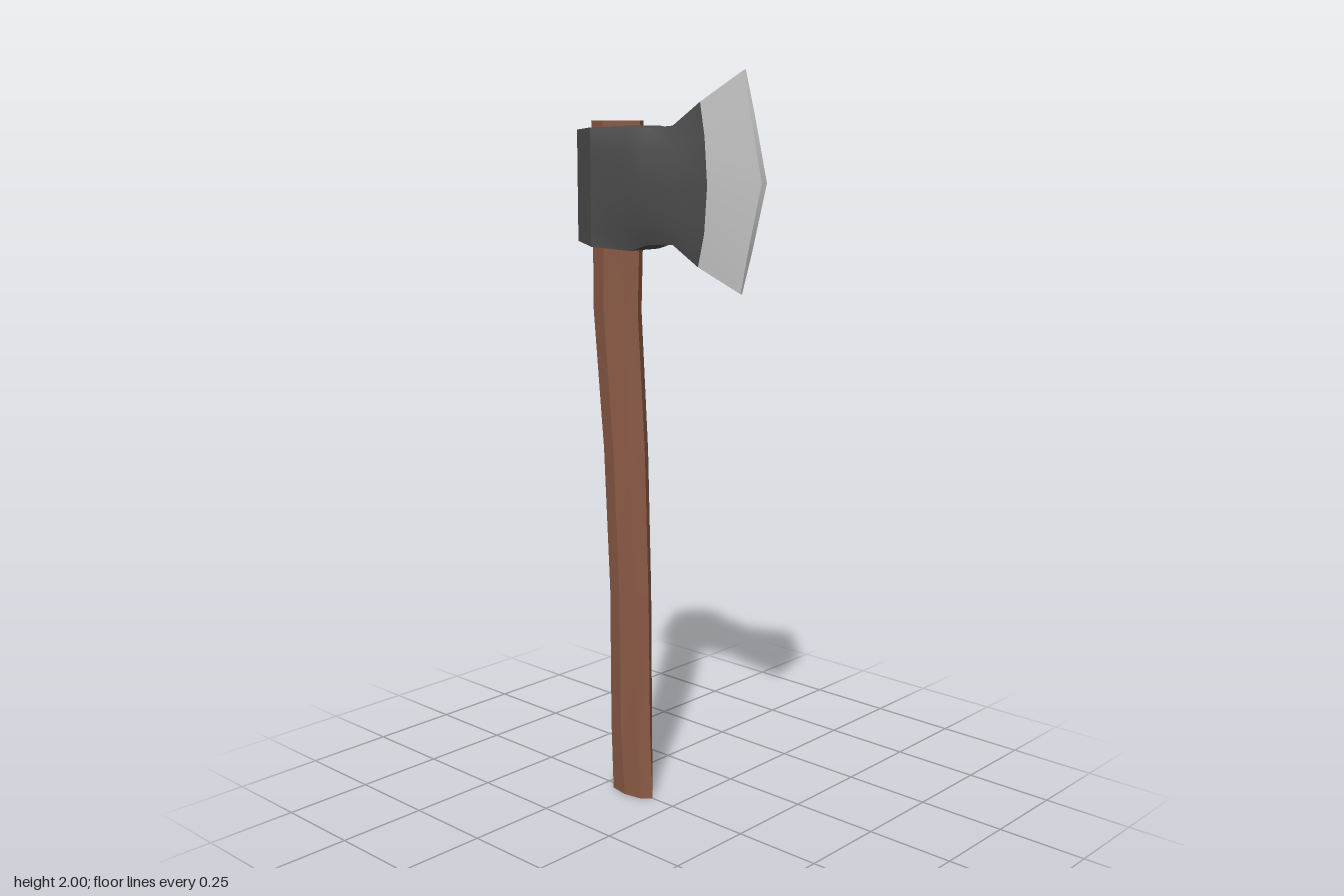
import * as THREE from 'three';
import { toCreasedNormals } from 'three/addons/utils/BufferGeometryUtils.js';

const mat = (name, color) => {
  const m = new THREE.MeshStandardMaterial({ color });
  m.name = name;
  return m;
};

// Skin a series of closed rings of points; caps are laid as strips across a ring.
function loft(rings, capStart, capEnd, crease) {
  const pos = [];
  const tri = (a, b, c) => {
    const area = new THREE.Triangle(a, b, c).getArea();
    if (area > 1e-8) for (const p of [a, b, c]) pos.push(p.x, p.y, p.z);
  };
  const n = rings[0].length;
  for (let i = 0; i < rings.length - 1; i++) {
    const A = rings[i], B = rings[i + 1];
    for (let j = 0; j < n; j++) {
      const k = (j + 1) % n;
      tri(A[j], B[j], A[k]);
      tri(B[j], B[k], A[k]);
    }
  }
  const cap = (r) => {
    for (let i = 0; i < n / 2 - 1; i++) {
      tri(r[i], r[i + 1], r[n - 1 - i]);
      tri(r[i + 1], r[n - 2 - i], r[n - 1 - i]);
    }
  };
  if (capStart) cap(rings[0]);
  if (capEnd) cap([...rings[rings.length - 1]].reverse());
  const g = new THREE.BufferGeometry();
  g.setAttribute('position', new THREE.Float32BufferAttribute(pos, 3));
  return toCreasedNormals(g, crease);
}

// Head station: right side from top to bottom, then the left side back up.
const ROWS = [0, 0.17, 0.5, 0.83, 1];
function station({ x, y, z }) {
  const right = ROWS.map((t, i) =>
    new THREE.Vector3(x[i], Array.isArray(y) && y.length === 5 ? y[i] : y[0] + (y[1] - y[0]) * t,
      Array.isArray(z) ? z[i] : z));
  const left = right.map((p) => new THREE.Vector3(-p.x, p.y, p.z)).reverse();
  return [...right, ...left];
}
const bulge = (edge, upper, mid) => [edge, upper, mid, upper, edge];
const even = (w) => bulge(w, w, w);

export function createModel() {
  const wood = mat('brown wood', 0x8b5a45);
  const iron = mat('dark iron', 0x4b4b4b);
  const steel = mat('bright steel', 0xc8c8c8);
  const group = new THREE.Group();
  group.name = 'axe';
  const add = (name, geometry, material) => {
    const m = new THREE.Mesh(geometry, material);
    m.name = name;
    group.add(m);
  };

  // Handle: octagonal sections [y, back z, front z, half width], gently curved
  const sections = [
    [0, -0.232, -0.077, 0.034],
    [0.2, -0.23, -0.086, 0.043],
    [0.6, -0.228, -0.09, 0.045],
    [1.0, -0.245, -0.102, 0.049],
    [1.38, -0.278, -0.126, 0.053],
    [1.55, -0.278, -0.12, 0.054],
    [1.88, -0.28, -0.115, 0.055],
  ];
  const handleRings = sections.map(([y, back, front, w]) =>
    Array.from({ length: 8 }, (_, i) => {
      const a = (i * Math.PI) / 4;
      return new THREE.Vector3(Math.cos(a) * w, y, (back + front) / 2 + Math.sin(a) * (front - back) / 2);
    }));
  add('handle', loft(handleRings, true, true, 0.35), wood);

  // Head: poll, eye and cheeks, running forward to the curved bit line
  const bitLine = station({
    x: bulge(0.018, 0.023, 0.026),
    y: [1.925, 1.84, 1.72, 1.6, 1.515],
    z: [0.11, 0.13, 0.142, 0.13, 0.105],
  });
  const head = [
    station({ x: even(0), y: [1.855, 1.568], z: -0.305 }),
    station({ x: even(0.068), y: [1.856, 1.565], z: -0.28 }),
    station({ x: even(0.098), y: [1.862, 1.555], z: -0.2 }),
    station({ x: bulge(0.055, 0.07, 0.072), y: [1.867, 1.547, ], z: -0.1 }),
    station({ x: bulge(0.05, 0.068, 0.073), y: [1.86, 1.565], z: -0.04 }),
    station({ x: bulge(0.031, 0.042, 0.046), y: [1.867, 1.568], z: 0.03 }),
    bitLine,
  ];
  add('axeHead', loft(head, false, false, 0.5), iron);

  // Blade: flares from the bit line to a thin, slightly pointed edge
  const edge = station({
    x: bulge(0.003, 0.008, 0.01),
    y: [2, 1.9, 1.73, 1.56, 1.455],
    z: [0.24, 0.264, 0.305, 0.262, 0.235],
  });
  add('blade', loft([bitLine, edge], false, true, 0.5), steel);

  return group;
}
